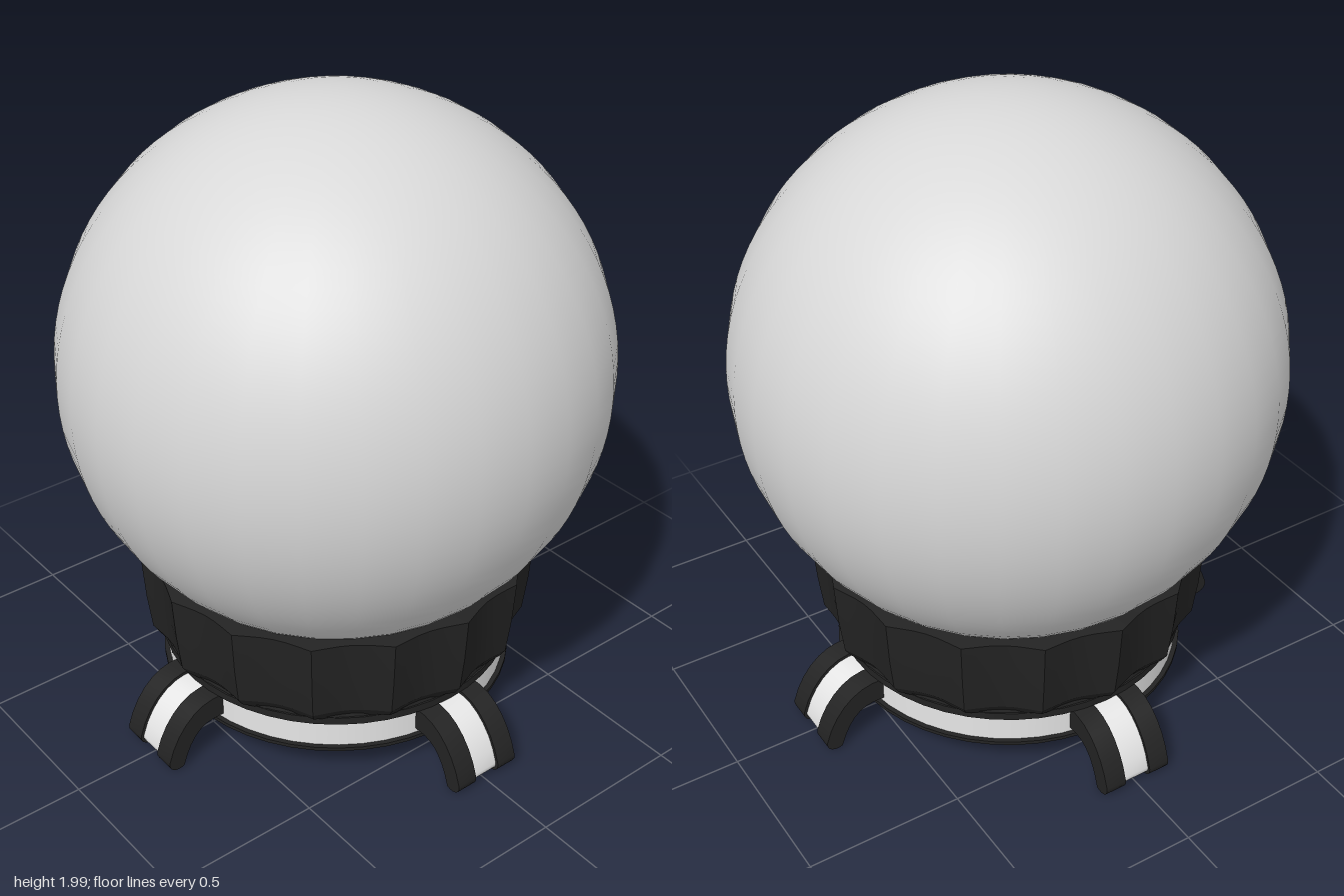
import * as THREE from 'three';
import { toCreasedNormals } from 'three/addons/utils/BufferGeometryUtils.js';

const globeMat = new THREE.MeshStandardMaterial({ color: 0xd8d8d8 });
globeMat.name = 'globe grey';
const whiteMat = new THREE.MeshStandardMaterial({ color: 0xe6e6e6 });
whiteMat.name = 'trim white';
const blackMat = new THREE.MeshStandardMaterial({ color: 0x232323 });
blackMat.name = 'rubber black';

function add(parent, name, geometry, material) {
  const mesh = new THREE.Mesh(geometry, material);
  mesh.name = name;
  parent.add(mesh);
  return mesh;
}

// Solid disc between two heights
function disc(parent, name, radius, y0, y1, material) {
  add(parent, name, new THREE.CylinderGeometry(radius, radius, y1 - y0, 48), material)
    .position.y = (y0 + y1) / 2;
}

// Ring with 16 concave scallops meeting at sharp ridges
function collarGeometry() {
  const profile = [[0, 0.235], [0.56, 0.235], [0.585, 0.25], [0.605, 0.28],
    [0.62, 0.4], [0.63, 0.545], [0.54, 0.55]].map(([r, y]) => new THREE.Vector2(r, y));
  const lobes = 16;
  const geometry = new THREE.LatheGeometry(profile, lobes * 6);
  const pos = geometry.attributes.position;
  for (let i = 0; i < pos.count; i++) {
    const x = pos.getX(i), z = pos.getZ(i), r = Math.hypot(x, z);
    if (r < 0.57) continue;
    const dip = 0.03 * Math.abs(Math.sin(Math.atan2(x, z) * lobes / 2));
    pos.setX(i, x * (r - dip) / r);
    pos.setZ(i, z * (r - dip) / r);
  }
  return toCreasedNormals(geometry, 0.4);
}

// Curved foot bar, running outward along +x; inset shrinks its outline
function footGeometry(width, inset) {
  const s = new THREE.Shape();
  s.moveTo(0.5, 0.215 - inset);
  s.lineTo(0.575, 0.215 - inset);
  s.bezierCurveTo(0.65 - inset, 0.21 - inset, 0.715 - inset, 0.14, 0.742 - inset, 0.045);
  s.bezierCurveTo(0.747 - inset, 0.015 + inset, 0.715, inset, 0.69 + inset, 0.012 + inset);
  s.bezierCurveTo(0.665 + inset, 0.09, 0.63, 0.135 + inset, 0.575, 0.138 + inset);
  s.lineTo(0.5, 0.138 + inset);
  const geometry = new THREE.ExtrudeGeometry(s, { depth: width, bevelEnabled: false, curveSegments: 6 });
  geometry.translate(0, 0, -width / 2);
  return toCreasedNormals(geometry, 0.6);
}

export function createModel() {
  const model = new THREE.Group();
  model.name = 'globeOnStand';

  add(model, 'globe', new THREE.SphereGeometry(0.84, 32, 48), globeMat).position.y = 1.16;
  add(model, 'scallopedCollar', collarGeometry(), blackMat);

  // Base drum with thin rims above and below
  disc(model, 'upperRim', 0.565, 0.215, 0.24, blackMat);
  disc(model, 'baseBand', 0.55, 0.12, 0.216, whiteMat);
  disc(model, 'bottomPlate', 0.565, 0.11, 0.122, blackMat);

  // Four feet: two black rails with a recessed white strip between
  const rail = footGeometry(0.07, 0);
  const strip = footGeometry(0.09, 0.01);
  for (let i = 0; i < 4; i++) {
    const foot = new THREE.Group();
    foot.name = 'foot';
    for (const side of [-1, 1]) add(foot, 'footRail', rail, blackMat).position.z = side * 0.08;
    add(foot, 'footStrip', strip, whiteMat);
    foot.rotation.y = i * Math.PI / 2;
    model.add(foot);
  }
  return model;
}
